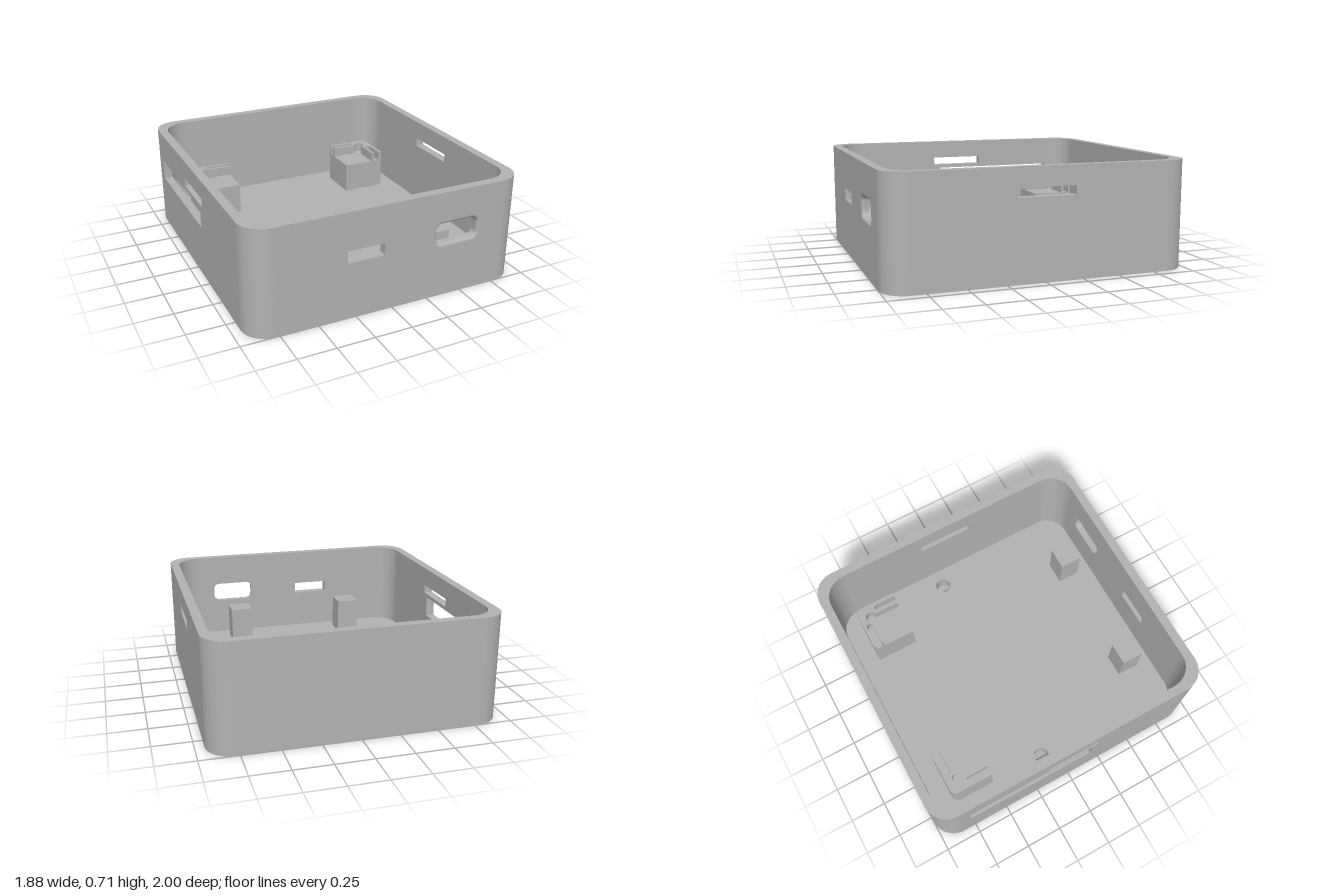
import * as THREE from 'three';
import { toCreasedNormals } from 'three/addons/utils/BufferGeometryUtils.js';

const W = 0.94, D = 1, H = 0.715;      // outer half width, half depth, height
const T = 0.06, R = 0.16, FLOOR = 0.105; // wall, corner radius, floor thickness
const ROUND = 0.02;                    // rounded lip of the port

// Counter-clockwise outline of a rectangle with rounded corners
function roundedRect(x0, x1, y0, y1, r, n = 8) {
  const pts = [];
  const centres = [[x1 - r, y0 + r], [x1 - r, y1 - r], [x0 + r, y1 - r], [x0 + r, y0 + r]];
  centres.forEach(([cx, cy], k) => {
    for (let i = 0; i <= n; i++) {
      const a = (k - 1 + i / n) * Math.PI / 2;
      pts.push(new THREE.Vector2(cx + r * Math.cos(a), cy + r * Math.sin(a)));
    }
  });
  return pts;
}

function rect(x0, x1, y0, y1) {
  return [[x0, y0], [x1, y0], [x1, y1], [x0, y1]].map(([x, y]) => new THREE.Vector2(x, y));
}

function circle(cx, cy, r) {
  return new THREE.Path().absarc(cx, cy, r, 0, Math.PI * 2).getPoints(16).slice(0, -1);
}

function extrude(points, holes, depth) {
  const shape = new THREE.Shape(points);
  holes.forEach((h) => shape.holes.push(new THREE.Path(h)));
  const g = new THREE.ExtrudeGeometry(shape, { depth, bevelEnabled: false });
  return toCreasedNormals(g, 0.6);
}

// Extrude a plan outline (x, -z) upwards from y0 to y1
function extrudeUp(points, holes, y0, y1) {
  return extrude(points, holes, y1 - y0).rotateX(-Math.PI / 2).translate(0, y0, 0);
}

const mirror = (pts, sx, sy = 1) => pts.map((p) => new THREE.Vector2(p.x * sx, p.y * sy));

const portOutline = (o) => roundedRect(0.305 - o, 0.602 + o, 0.363 - o, 0.5 + o, 0.04 + o);

// Quarter-round surface leading from the front face into the port
function portLip() {
  const steps = 6, pos = [], idx = [];
  const n = portOutline(0).length;
  for (let j = 0; j <= steps; j++) {
    const t = (j / steps) * Math.PI / 2;
    portOutline(ROUND * (1 - Math.sin(t))).forEach((p) => {
      pos.push(p.x, p.y, D - ROUND * (1 - Math.cos(t)));
    });
  }
  for (let j = 0; j < steps; j++) {
    for (let i = 0; i < n; i++) {
      const k = (i + 1) % n;
      const a = j * n + i, b = j * n + k, c = a + n, d = b + n;
      idx.push(a, b, d, a, d, c);
    }
  }
  const g = new THREE.BufferGeometry();
  g.setAttribute('position', new THREE.Float32BufferAttribute(pos, 3));
  g.setIndex(idx);
  g.computeVertexNormals();
  return g;
}

export function createModel() {
  const model = new THREE.Group();
  model.name = 'enclosure';
  const grey = new THREE.MeshStandardMaterial({ color: 0xb2b2b2 });
  grey.name = 'grey plastic';

  function add(name, geometry) {
    const mesh = new THREE.Mesh(geometry, grey);
    mesh.name = name;
    model.add(mesh);
    return mesh;
  }

  const px = W - T - R, pz = D - T - R; // half lengths of the flat walls

  // Floor with two screw holes
  add('floor', extrudeUp(roundedRect(-W + T, W - T, -D + T, D - T, R, 12),
    [circle(-0.755, 0.12, 0.053), circle(0.755, 0.12, 0.053)], 0, FLOOR));

  // Front wall in two layers, so the port can widen towards the outside
  const frontSlot = rect(-0.31, -0.06, 0.38, 0.46);
  const frontOutline = rect(-px, px, 0, H);
  add('frontWallInner', extrude(frontOutline, [frontSlot, portOutline(0)], T - ROUND)
    .translate(0, 0, D - T));
  add('frontWallOuter', extrude(frontOutline, [frontSlot, portOutline(ROUND)], ROUND)
    .translate(0, 0, D - ROUND));
  add('portLip', portLip());

  // Back wall
  add('backWall', extrude(frontOutline, [], T).translate(0, 0, -D));

  // Side walls with a vent slot each, and a wide opening on the right
  const sideOutline = rect(-pz, pz, 0, H);
  const vent = rect(-0.19, 0.19, 0.53, 0.588);
  const opening = rect(-0.77, 0.14, 0.365, 0.505);
  add('leftWall', extrude(sideOutline, [vent], T).translate(0, 0, W - T).rotateY(Math.PI / 2));
  add('rightWall', extrude(sideOutline, [vent, opening], T)
    .translate(0, 0, W - T).rotateY(-Math.PI / 2));

  // Rounded corner walls
  const corner = new THREE.Shape();
  corner.moveTo(px, D);
  corner.lineTo(W - R, D);
  corner.absarc(W - R, D - R, R, Math.PI / 2, 0, true);
  corner.lineTo(W, pz);
  corner.lineTo(W - T, pz);
  corner.absarc(px, pz, R, 0, Math.PI / 2, false);
  const cornerPoints = corner.getPoints(12);
  for (const sx of [1, -1]) {
    for (const sz of [1, -1]) {
      add('cornerWall', extrudeUp(mirror(cornerPoints, sx, sz), [], 0, H));
    }
  }

  // Rear support block outline
  const base = new THREE.Shape();
  base.moveTo(0.445, 0.51);
  base.lineTo(0.755, 0.51);
  base.lineTo(0.755, 0.76);
  base.absarc(0.705, 0.76, 0.05, 0, Math.PI / 2, false);
  base.lineTo(0.445, 0.81);

  // L-shaped rim with a groove in each arm and a round corner relief
  const rim = new THREE.Shape();
  rim.moveTo(0.445, 0.81);
  rim.lineTo(0.705, 0.81);
  rim.absarc(0.705, 0.76, 0.05, Math.PI / 2, 0, true);
  rim.lineTo(0.755, 0.51);
  rim.lineTo(0.73, 0.51);
  rim.absarc(0.71, 0.655, 0.02, 0, Math.PI, false);
  rim.lineTo(0.69, 0.51);
  rim.lineTo(0.67, 0.51);
  rim.absarc(0.665, 0.73, 0.035, -Math.PI / 2 + 0.14, Math.PI, false);
  rim.lineTo(0.445, 0.73);
  rim.lineTo(0.445, 0.75);
  rim.absarc(0.6, 0.77, 0.02, -Math.PI / 2, Math.PI / 2, false);
  rim.lineTo(0.445, 0.79);

  for (const s of [1, -1]) {
    const side = s > 0 ? 'left' : 'right';
    add(side + 'SupportBlock', extrudeUp(mirror(base.getPoints(8), s), [], FLOOR, 0.32));
    add(side + 'SupportRim', extrudeUp(mirror(rim.getPoints(8), s), [], 0.32, 0.387));
    // Front support post
    const post = new THREE.BoxGeometry(0.155, 0.355 - FLOOR, 0.155);
    add(side + 'SupportPost', post).position.set(s * 0.43, (0.355 + FLOOR) / 2, 0.76);
  }

  return model;
}
